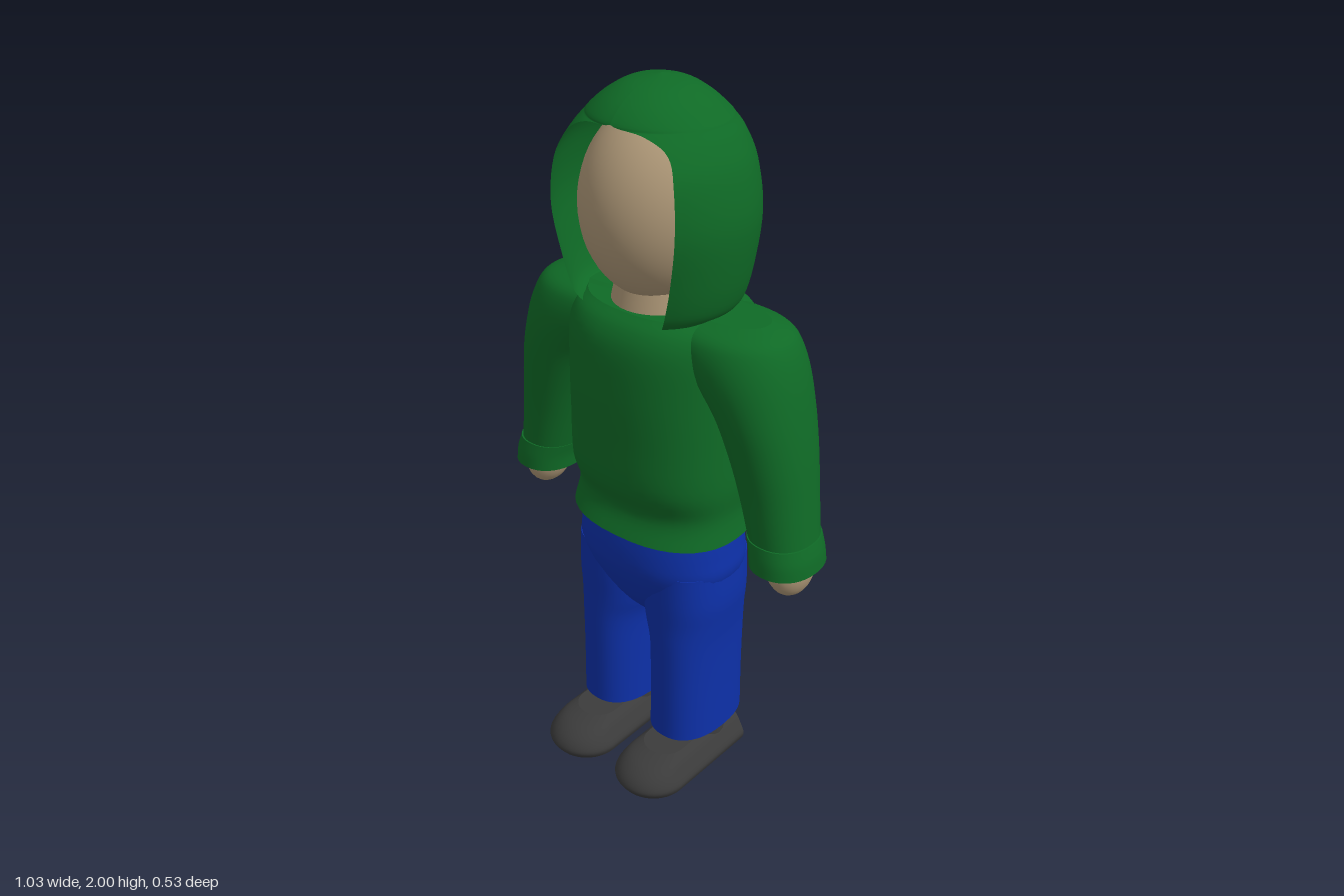
import * as THREE from 'three';

const mat = (name, color, side = THREE.FrontSide) => {
  const m = new THREE.MeshStandardMaterial({ color, side });
  m.name = name;
  return m;
};

// Smoothly resample a short table of section rows
function smooth(rows, steps = 5) {
  const out = [];
  for (let i = 0; i < rows.length - 1; i++) {
    const a = rows[Math.max(i - 1, 0)], b = rows[i], c = rows[i + 1], d = rows[Math.min(i + 2, rows.length - 1)];
    for (let s = 0; s < steps; s++) {
      const t = s / steps;
      out.push(b.map((v, k) => {
        const cubic = 3 * (v - c[k]) + d[k] - a[k];
        const square = 2 * a[k] - 5 * v + 4 * c[k] - d[k];
        return v + 0.5 * t * (c[k] - a[k] + t * (square + t * cubic));
      }));
    }
  }
  out.push(rows[rows.length - 1]);
  return out;
}

// Skin a stack of rings (bottom to top); caps get their own vertices so edges stay sharp
function skin(rings, { closed = true, bottom = true, top = true } = {}) {
  const n = rings[0].length, pos = rings.flat(2), idx = [];
  for (let r = 0; r < rings.length - 1; r++) {
    for (let i = 0; i < (closed ? n : n - 1); i++) {
      const j = (i + 1) % n, a = r * n + i, b = r * n + j;
      idx.push(a, a + n, b, b, a + n, b + n);
    }
  }
  const cap = (ring, up) => {
    const base = pos.length / 3;
    pos.push(...ring.flat());
    for (let i = 1; i < n - 1; i++) idx.push(base, base + (up ? i + 1 : i), base + (up ? i : i + 1));
  };
  if (bottom) cap(rings[0], false);
  if (top) cap(rings[rings.length - 1], true);
  const g = new THREE.BufferGeometry();
  g.setAttribute('position', new THREE.Float32BufferAttribute(pos, 3));
  g.setIndex(idx);
  g.computeVertexNormals();
  return g;
}

// Rounded horizontal section from a row [y, xMin, xMax, zFront, zBack]
function section([y, x0, x1, zf, zb], e) {
  const n = 40, bend = (v) => Math.sign(v) * Math.abs(v) ** e;
  return Array.from({ length: n }, (_, i) => {
    const a = (i / n) * Math.PI * 2;
    return [(x0 + x1) / 2 + ((x1 - x0) / 2) * bend(Math.cos(a)), y, (zf + zb) / 2 + ((zf - zb) / 2) * bend(Math.sin(a))];
  });
}
const loft = (rows, e, opts) => skin(smooth(rows).map((r) => section(r, e)), opts);
const centred = (rows) => rows.map(([y, w, zf, zb]) => [y, -w, w, zf, zb]);

// Hood section from [y, halfWidth, front rim z, back z, opening half-width]
function hoodSection([y, w, rim, back, open]) {
  const zc = -0.03, n = 56;
  const a0 = Math.asin(Math.min(0.95, Math.max(0, open) / Math.max(w, 0.001)));
  const front = (rim - zc) / Math.cos(a0);
  return Array.from({ length: n + 1 }, (_, i) => {
    const a = a0 + (i / n) * (Math.PI * 2 - 2 * a0), c = Math.cos(a);
    return [-w * Math.sin(a), y, zc + c * (c > 0 ? front : zc - back)];
  });
}

// Shoe section: round toe, straight sides, square heel with doubled corners
function shoeSection([y, hw, toe]) {
  const pts = [], heel = -0.14, zc = toe - hw;
  for (let i = 0; i <= 20; i++) {
    const a = (i / 20) * Math.PI;
    pts.push([hw * Math.cos(a), y, zc + hw * Math.sin(a)]);
  }
  pts.push([-hw, y, heel], [-hw, y, heel], [hw, y, heel], [hw, y, heel]);
  return pts;
}

export function createModel() {
  const green = mat('green cloth', 0x0f6a26, THREE.DoubleSide);
  const blue = mat('blue denim', 0x0d30a8, THREE.DoubleSide);
  const tan = mat('skin', 0xac9676);
  const dark = mat('dark shoe', 0x3b3b3b);

  const model = new THREE.Group();
  model.name = 'hoodedFigure';
  const add = (parent, name, geo, m, x = 0, y = 0, z = 0) => {
    const mesh = new THREE.Mesh(geo, m);
    mesh.name = name;
    mesh.position.set(x, y, z);
    parent.add(mesh);
    return mesh;
  };

  // Head and neck
  add(model, 'head', new THREE.SphereGeometry(1, 40, 28), tan, 0, 1.69, -0.015).scale.set(0.188, 0.25, 0.205);
  add(model, 'neck', new THREE.CylinderGeometry(0.11, 0.135, 0.12, 32), tan, 0, 1.42, -0.02);

  // Hood with a face opening
  const hoodRows = [
    [1.425, 0.195, 0.12, -0.21, 0.13], [1.46, 0.222, 0.135, -0.235, 0.15], [1.55, 0.246, 0.145, -0.25, 0.175],
    [1.68, 0.261, 0.155, -0.262, 0.197], [1.8, 0.243, 0.148, -0.25, 0.188], [1.87, 0.212, 0.13, -0.225, 0.155],
    [1.905, 0.187, 0.14, -0.2, 0.09], [1.918, 0.176, 0.152, -0.19, 0], [1.955, 0.133, 0.115, -0.15, 0],
    [1.985, 0.078, 0.055, -0.1, 0], [2.0, 0.001, -0.029, -0.031, 0],
  ];
  add(model, 'hood', skin(smooth(hoodRows).map(hoodSection), { closed: false, bottom: false, top: false }), green);

  // Sweater body with a gathered hem
  add(model, 'sweaterBody', loft(centred([
    [0.785, 0.258, 0.155, -0.238], [0.86, 0.248, 0.13, -0.215], [0.95, 0.256, 0.163, -0.255], [1.08, 0.253, 0.17, -0.26],
    [1.22, 0.25, 0.174, -0.26], [1.34, 0.25, 0.168, -0.256], [1.4, 0.24, 0.145, -0.24], [1.43, 0.21, 0.11, -0.205],
  ]), 0.85), green);

  // Trouser hips tapering into the crotch
  add(model, 'trouserHips', loft(centred([
    [0.47, 0.02, 0.03, -0.11], [0.52, 0.1, 0.075, -0.16], [0.58, 0.2, 0.108, -0.192],
    [0.66, 0.243, 0.134, -0.22], [0.73, 0.24, 0.136, -0.222], [0.81, 0.23, 0.125, -0.215],
  ]), 0.85), blue);

  for (const side of [1, -1]) {
    const label = side > 0 ? 'left' : 'right';
    const limb = (rows) => rows.map(([y, a, b, zf, zb]) => (side > 0 ? [y, a, b, zf, zb] : [y, -b, -a, zf, zb]));

    // Sleeve, cuff and hand
    const arm = new THREE.Group();
    arm.name = label + 'Arm';
    model.add(arm);
    add(arm, 'sleeve', loft(limb([
      [0.85, 0.325, 0.497, 0.052, -0.145], [0.98, 0.29, 0.482, 0.06, -0.155], [1.1, 0.253, 0.468, 0.075, -0.168],
      [1.21, 0.205, 0.45, 0.09, -0.18], [1.31, 0.12, 0.428, 0.099, -0.19], [1.38, 0.06, 0.403, 0.092, -0.185],
      [1.415, 0.05, 0.375, 0.07, -0.165], [1.435, 0.05, 0.325, 0.02, -0.12],
    ]), 0.9), green);
    add(arm, 'cuff', loft(limb([
      [0.79, 0.332, 0.515, 0.065, -0.155], [0.83, 0.328, 0.51, 0.063, -0.152], [0.87, 0.318, 0.499, 0.057, -0.149],
    ]), 0.9), green);
    const hand = add(arm, 'hand', new THREE.SphereGeometry(1, 24, 18), tan, side * 0.435, 0.79, -0.042);
    hand.scale.set(0.06, 0.092, 0.078);
    hand.rotation.z = side * 0.12;

    // Trouser leg, ankle and shoe
    const leg = new THREE.Group();
    leg.name = label + 'Leg';
    model.add(leg);
    add(leg, 'trouserLeg', loft(limb([
      [0.12, 0.024, 0.232, 0.108, -0.196], [0.28, 0.025, 0.23, 0.108, -0.196], [0.42, 0.022, 0.232, 0.108, -0.196],
      [0.5, 0.002, 0.238, 0.108, -0.196], [0.58, -0.01, 0.245, 0.11, -0.198], [0.68, -0.01, 0.24, 0.11, -0.2],
    ]), 0.85, { bottom: false }), blue);
    add(leg, 'ankle', new THREE.CylinderGeometry(0.07, 0.065, 0.25, 24), tan, side * 0.13, 0.24, -0.045);
    add(leg, 'shoe', skin(smooth([
      [0, 0.1, 0.25], [0.025, 0.108, 0.264], [0.055, 0.095, 0.25], [0.08, 0.08, 0.215], [0.097, 0.062, 0.16],
    ]).map(shoeSection)), dark, side * 0.13);
    add(leg, 'shoeCollar', new THREE.CylinderGeometry(0.08, 0.085, 0.07, 28), dark, side * 0.13, 0.1, -0.05);
  }
  return model;
}
